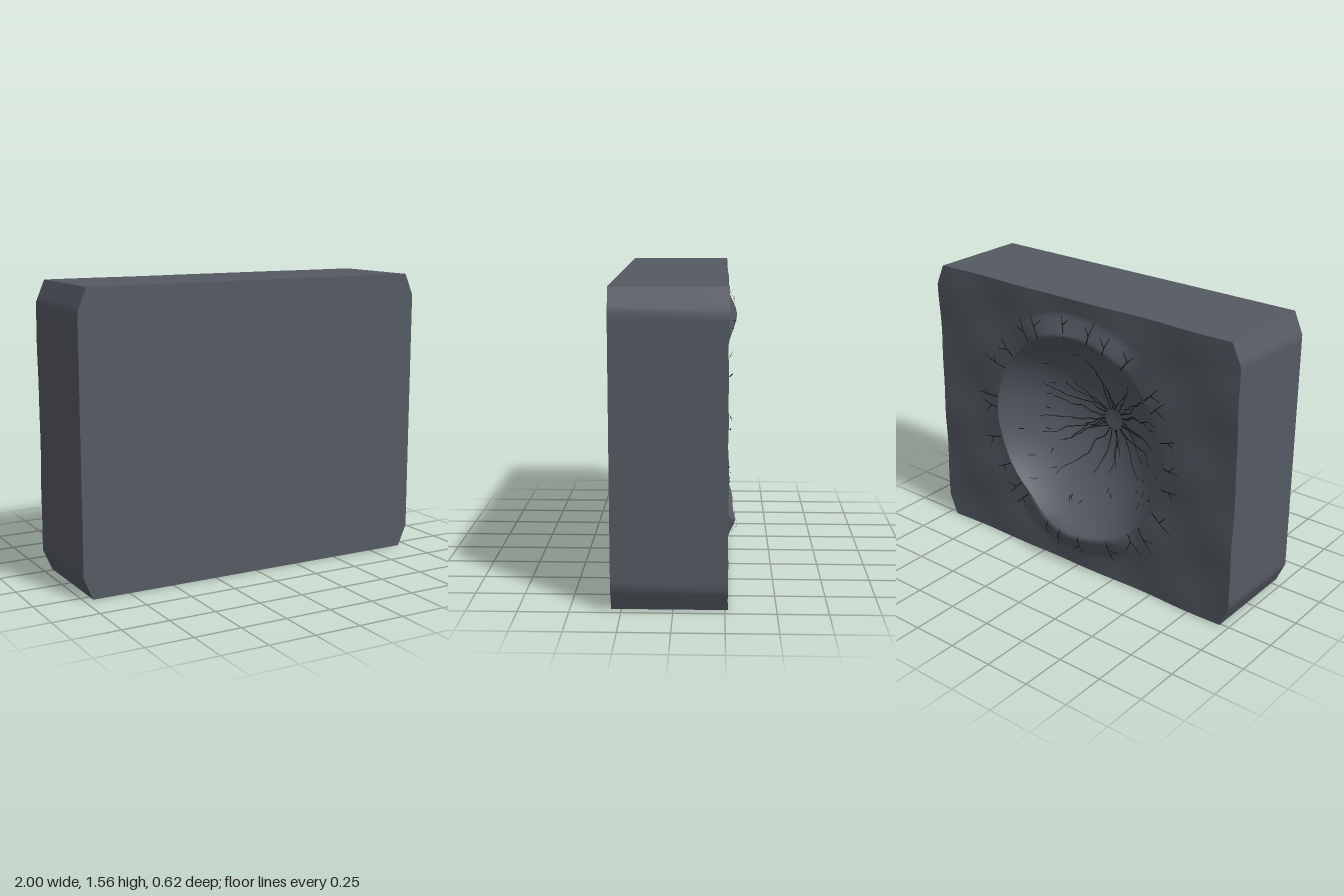
import * as THREE from 'three';
import { toCreasedNormals } from 'three/addons/utils/BufferGeometryUtils.js';

const CY = 0.78, RIM = 0.57, DEPTH = 0.33, BACK = -0.26, FRONT = 0.3;
const BALL = (RIM * RIM + DEPTH * DEPTH) / (2 * DEPTH); // bowl is a sphere cap
const smooth = THREE.MathUtils.smoothstep;

// Small seeded generator
let seed = 7;
const rand = (a = 0, b = 1) => {
  seed = (seed * 16807) % 2147483647;
  return a + (b - a) * (seed / 2147483647);
};

// Depth of the rough back face and its bowl at a point (y measured from the centre)
function surfaceZ(x, y) {
  const r = Math.hypot(x, y);
  const wave = 0.004 * Math.sin(6 * x + 4 * y + 1) + 0.003 * Math.sin(11 * x - 8 * y)
    + 0.002 * Math.sin(17 * y + 5 * x + 2);
  const arc = smooth(Math.abs(y) / (r || 1), 0.74, 0.95);
  const ridge = r < 0.59 ? smooth(r, 0.52, 0.59) : Math.max(0, 1 - (r - 0.59) / 0.1);
  const rough = wave - 0.04 * arc * ridge * (1 + 0.12 * Math.sin(14 * x));
  if (r >= RIM) return BACK + rough;
  return BACK + DEPTH - BALL + Math.sqrt(BALL * BALL - r * r) + rough * (r / RIM) ** 8;
}

// Outline with clipped corners, subdivided
function outline() {
  const c = [[1, -0.665], [1, 0.665], [0.95, 0.78], [-0.95, 0.78],
    [-1, 0.665], [-1, -0.665], [-0.95, -0.78], [0.95, -0.78]];
  const points = [];
  c.forEach(([x, y], i) => {
    const [u, v] = c[(i + 1) % 8];
    const n = Math.ceil(Math.hypot(u - x, v - y) / 0.04);
    for (let k = 0; k < n; k++) points.push([x + (u - x) * k / n, y + (v - y) * k / n]);
  });
  return points;
}

// Slab: rings from the bowl centre, over the back face and sides, to the front centre
function slabGeometry() {
  const edge = outline(), rings = [];
  const circle = edge.map(([x, y]) => [x / Math.hypot(x, y), y / Math.hypot(x, y)]);
  const BOWL = 20, FLAT = 18;
  for (let i = 0; i <= BOWL; i++) {
    const r = i === BOWL ? RIM : BALL * Math.sin(Math.asin(RIM / BALL) * i / BOWL);
    rings.push(circle.map(([x, y]) => [x * r, y * r, surfaceZ(x * r, y * r)]));
  }
  for (let i = 1; i <= FLAT; i++) {
    const t = (i / FLAT) ** 1.4;
    rings.push(edge.map(([u, v], j) => {
      const x = THREE.MathUtils.lerp(circle[j][0] * RIM, u, t);
      const y = THREE.MathUtils.lerp(circle[j][1] * RIM, v, t);
      return [x, y, surfaceZ(x, y)];
    }));
  }
  rings.push(edge.map(([x, y]) => [x, y, FRONT]));
  rings.push(edge.map(() => [0, 0, FRONT]));

  const pos = [], last = rings.length - 2;
  for (let i = 0; i <= last; i++) {
    for (let j = 0; j < edge.length; j++) {
      const k = (j + 1) % edge.length;
      const a = rings[i][j], b = rings[i][k], c = rings[i + 1][k], d = rings[i + 1][j];
      if (i > 0) pos.push(...a, ...b, ...c);
      if (i < last) pos.push(...a, ...c, ...d);
      else pos.splice(pos.length - 9, 9, ...a, ...b, ...c);
      if (i === 0) pos.splice(pos.length - 9, 9, ...a, ...c, ...d);
    }
  }
  const g = new THREE.BufferGeometry();
  g.setAttribute('position', new THREE.Float32BufferAttribute(pos, 3));
  return toCreasedNormals(g, 0.65);
}

// Adds a thin tapering ribbon along [x, y] points laid on the surface
function addCrack(pos, points, width, lift = () => 0.005) {
  const pairs = points.map(([x, y], i) => {
    const [px, py] = points[Math.max(0, i - 1)], [qx, qy] = points[Math.min(points.length - 1, i + 1)];
    const len = Math.hypot(qx - px, qy - py) || 1;
    const w = width / 2 * (1 - 0.5 * i / (points.length - 1));
    const nx = -(qy - py) / len * w, ny = (qx - px) / len * w;
    const up = lift(i);
    return [1, -1].map(s => [x + s * nx, y + s * ny, surfaceZ(x + s * nx, y + s * ny) - up]);
  });
  for (let i = 0; i + 1 < pairs.length; i++) {
    const [a, b] = pairs[i], [d, c] = pairs[i + 1];
    pos.push(...a, ...d, ...c, ...a, ...c, ...b);
  }
}

function crackMesh(name, pos, material) {
  const g = new THREE.BufferGeometry();
  g.setAttribute('position', new THREE.Float32BufferAttribute(pos, 3));
  g.computeVertexNormals();
  const mesh = new THREE.Mesh(g, material);
  mesh.name = name;
  return mesh;
}

const polar = (r, a) => [r * Math.cos(a), r * Math.sin(a)];

export function createModel() {
  seed = 7;
  const stone = new THREE.MeshStandardMaterial({ color: 0x555a63 });
  stone.name = 'slate stone';
  const dark = new THREE.MeshStandardMaterial({ color: 0x17181b, side: THREE.DoubleSide });
  dark.name = 'dark crack';

  const model = new THREE.Group();
  model.name = 'crateredSlab';
  const slab = new THREE.Mesh(slabGeometry(), stone);
  slab.name = 'slabWithBowl';
  model.add(slab);

  // Wavy cracks spreading from the bowl centre
  const radial = [];
  for (let i = 0; i < 28; i++) {
    let a = (i + rand(-0.25, 0.25)) / 28 * Math.PI * 2;
    const end = rand(0.2, 0.46), points = [];
    for (let r = 0.06; r < end; r += 0.03) {
      points.push(polar(r, a));
      a += rand(-0.014, 0.014) / r;
    }
    addCrack(radial, points, 0.007);
  }
  model.add(crackMesh('bowlCracks', radial, dark));

  // Short loose cracks higher in the bowl
  const loose = [];
  for (let i = 0; i < 30; i++) {
    const r = rand(0.36, 0.53), a = rand(0, Math.PI * 2), turn = rand(-0.06, 0.06);
    addCrack(loose, [polar(r, a), polar(r + 0.015, a + turn / 2), polar(r + 0.022, a + turn)], 0.006);
  }
  model.add(crackMesh('looseCracks', loose, dark));

  // Forked cracks around the rim, lifting slightly from the face
  const rim = [];
  for (let i = 0; i < 26; i++) {
    const a = (i + rand(-0.3, 0.3)) / 26 * Math.PI * 2;
    const mid = rand(0.61, 0.65), bend = rand(-0.05, 0.05);
    const high = rand(0.006, 0.022), lift = k => (k === 0 ? 0.005 : high);
    addCrack(rim, [polar(0.575, a), polar(mid, a + bend / 2), polar(mid + rand(0.03, 0.09), a + bend)], 0.007, lift);
    const side = Math.sign(bend) * -rand(0.05, 0.1);
    addCrack(rim, [polar(mid, a + bend / 2), polar(mid + rand(0.01, 0.05), a + bend / 2 + side)], 0.006, () => high);
  }
  model.add(crackMesh('rimCracks', rim, dark));

  model.children.forEach(m => { m.position.y = CY; });
  return model;
}
